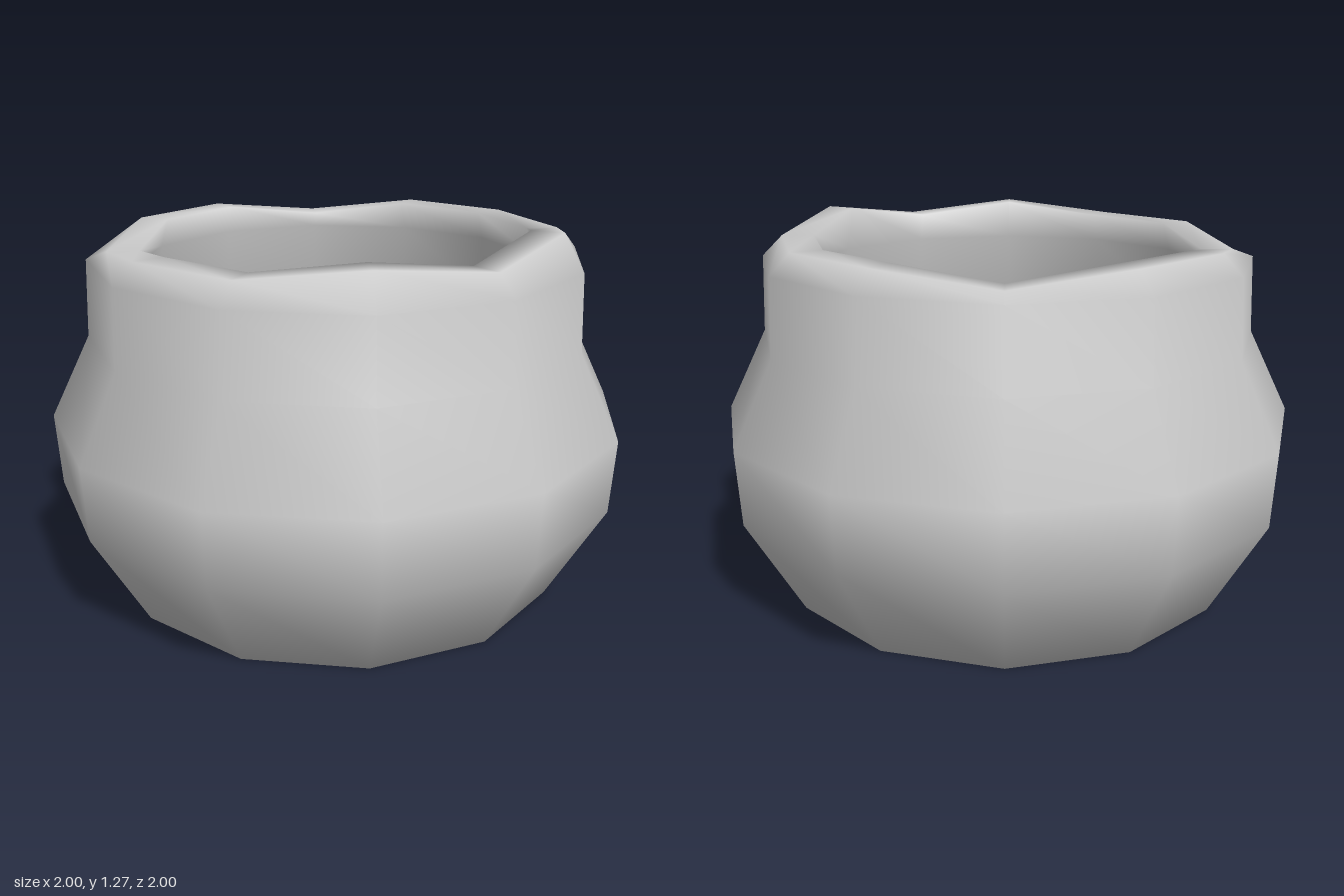
import * as THREE from 'three';
import { mergeVertices } from 'three/addons/utils/BufferGeometryUtils.js';

const SIDES = 12;

// Profile as [radius, height]: underside, outer wall, lip, inner wall, inner floor
const PROFILE = [
  [0, 0], [0.79, 0], [0.985, 0.345], [1, 0.6], [0.86, 0.885], [0.85, 1.15],
  [0.78, 1.22], [0.67, 1.22],
  [0.7, 1.12], [0.72, 0.9], [0.84, 0.6], [0.82, 0.4], [0.64, 0.17], [0, 0.13],
];

// Uneven lip: height change at single corners, counted from the front towards +x
const LIP_OFFSETS = { 2: 0.04, 4: 0.055, 8: -0.045, 11: -0.045 };

function potGeometry() {
  const lathe = new THREE.LatheGeometry(PROFILE.map(([r, y]) => new THREE.Vector2(r, y)), SIDES);
  const pos = lathe.attributes.position;
  for (let i = 0; i < pos.count; i++) {
    const corner = Math.floor(i / PROFILE.length) % SIDES;
    const ring = i % PROFILE.length;
    if (ring === 6 || ring === 7) pos.setY(i, pos.getY(i) + (LIP_OFFSETS[corner] ?? 0));
  }
  // Weld everything so the shading runs smoothly over all edges
  lathe.deleteAttribute('uv');
  lathe.deleteAttribute('normal');
  const welded = mergeVertices(lathe, 1e-4);
  welded.computeVertexNormals();
  return welded;
}

export function createModel() {
  const group = new THREE.Group();
  group.name = 'pot';
  const body = new THREE.Mesh(
    potGeometry(),
    new THREE.MeshStandardMaterial({ color: 0xcccccc }),
  );
  body.name = 'potBody';
  group.add(body);
  return group;
}
